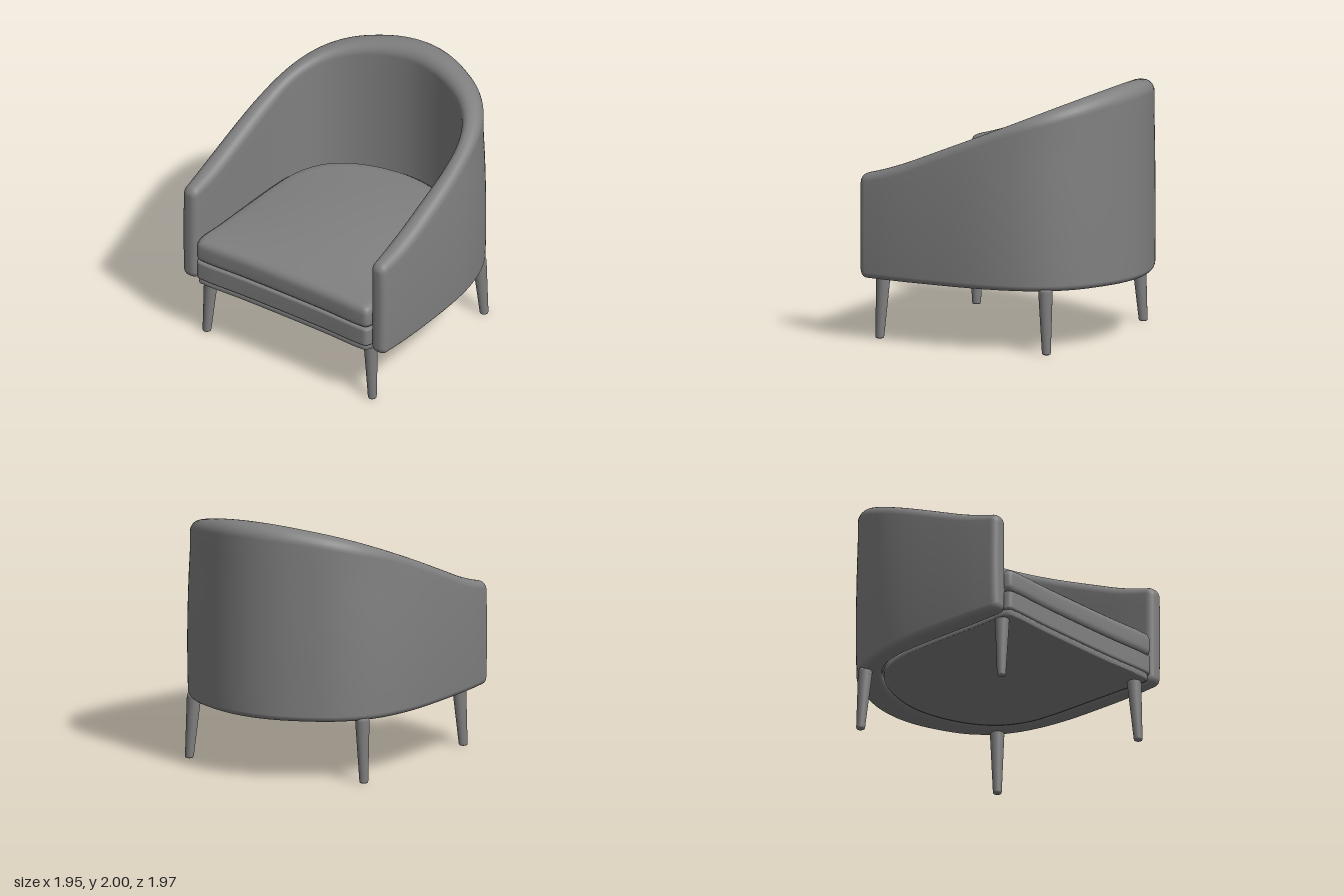
import * as THREE from 'three';

const material = new THREE.MeshStandardMaterial({ color: 0x808080 });

// Half plan outlines [x, z] of the wrap-around shell, arm tip to middle of the back
const OUTER = [[-0.9, 0.965], [-0.7, 0.98], [-0.4, 0.985], [0, 0.972], [0.25, 0.935], [0.45, 0.873],
  [0.62, 0.775], [0.77, 0.62], [0.885, 0.4], [0.95, 0.2], [0.972, 0]];
const INNER = [[-0.9, 0.825], [-0.7, 0.815], [-0.4, 0.81], [0, 0.8], [0.2, 0.78], [0.36, 0.725],
  [0.48, 0.645], [0.59, 0.515], [0.68, 0.33], [0.725, 0.165], [0.742, 0]];
const SEAT_FRONT = [[-0.963, 0], [-0.966, 0.4], [-0.977, 0.73], [-0.967, 0.8]];

const vec = ([x, z]) => new THREE.Vector3(x, 0, z);
const flip = ([x, z]) => [x, -z];

function addMesh(parent, geometry, name) {
  const mesh = new THREE.Mesh(geometry, material);
  mesh.name = name;
  parent.add(mesh);
}

// Smooth skin over a list of closed rings, capped at both ends
function loft(rings) {
  const n = rings[0].length, last = rings.length - 1;
  const points = rings.flat(), index = [];
  for (let i = 0; i < last; i++) {
    for (let j = 0; j < n; j++) {
      const a = i * n + j, b = i * n + (j + 1) % n;
      index.push(a, a + n, b, b, a + n, b + n);
    }
  }
  for (const i of [0, last]) {
    const center = new THREE.Vector3();
    rings[i].forEach((p) => center.addScaledVector(p, 1 / n));
    const m = points.push(center) - 1;
    for (let j = 0; j < n; j++) {
      const a = i * n + j, b = i * n + (j + 1) % n;
      if (i === 0) index.push(m, a, b);
      else index.push(m, b, a);
    }
  }
  const geometry = new THREE.BufferGeometry().setFromPoints(points);
  geometry.setIndex(index);
  geometry.computeVertexNormals();
  return geometry;
}

// Upright rounded section: [across, height] points, counter-clockwise
function section(width, bottom, top, inset) {
  const x0 = inset, x1 = width - inset, y0 = bottom + inset, y1 = top - inset;
  const rt = 0.43 * (x1 - x0), rb = Math.min(0.045, 0.4 * (x1 - x0));
  const corners = [[x1 - rb, y0 + rb, rb], [x1 - rt, y1 - rt, rt], [x0 + rt, y1 - rt, rt], [x0 + rb, y0 + rb, rb]];
  const onArc = ([cx, cy, r], a) => new THREE.Vector2(cx + r * Math.cos(a), cy + r * Math.sin(a));
  const loop = [];
  corners.forEach((corner, c) => {
    const start = (c - 1) * Math.PI / 2, end = c * Math.PI / 2;
    for (let i = 0; i <= 6; i++) loop.push(onArc(corner, start + i * Math.PI / 12));
    // Extra points along the edges, so the tall sides can bulge
    const from = onArc(corner, end), to = onArc(corners[(c + 1) % 4], end);
    const steps = c % 2 === 0 ? 8 : 2;
    for (let i = 1; i < steps; i++) loop.push(from.clone().lerp(to, i / steps));
  });
  return loop;
}

// Shell: arms and back in one sweep, rising towards the back, with rounded arm tips
function shellGeometry() {
  const [outer, inner] = [OUTER, INNER].map((half) =>
    new THREE.CatmullRomCurve3([...half, ...half.slice(0, -1).reverse().map(flip)].map(vec)));
  const tip = 0.055, stations = [];
  for (let i = 0; i <= 6; i++) {
    const a = (i / 6) * Math.PI / 2;
    stations.push({ t: 0, shift: -tip * Math.cos(a), inset: tip * (1 - Math.sin(a)) });
  }
  const tips = stations.map((s) => ({ ...s, t: 1 })).reverse();
  for (let i = 1; i < 100; i++) stations.push({ t: i / 100, shift: 0, inset: 0 });
  stations.push(...tips);

  return loft(stations.map(({ t, shift, inset }) => {
    const o = outer.getPoint(t), q = inner.getPoint(t);
    const width = o.distanceTo(q), midX = (o.x + q.x) / 2 + shift;
    const top = 1.645 + 0.415 * midX + 0.2 * Math.max(0, -0.5 - midX) ** 2;
    return section(width, 0.488, top, inset).map(({ x: u, y }) => {
      const f = u / width;
      const p = q.clone().lerp(o, f);
      const taper = Math.min(0.03, 0.027 * ((y - 0.9) / 0.7) ** 2);
      return new THREE.Vector3(p.x + shift, y, p.z * (1 - f * taper));
    });
  }));
}

// Slab filling the inside of the shell; profile rows are [plan scale, height, crown]
function slabGeometry(profile) {
  const half = [...SEAT_FRONT, ...INNER];
  const loop = [...half.map(flip), ...half.slice(1, -1).reverse()];
  const outline = new THREE.CatmullRomCurve3(loop.map(vec), true).getPoints(160).slice(0, -1);
  return loft(profile.map(([s, y, crown = 0]) => outline.map((p) => {
    const x = (p.x + 0.12) * s, z = p.z * s;
    const dome = Math.max(0, 1 - (x / 0.86) ** 2) * Math.max(0, 1 - (z / 0.82) ** 2);
    return new THREE.Vector3(x - 0.12, y + crown * dome, z);
  })));
}

// Tapered round leg, leaning outwards
function legGeometry(topX, topZ, footX, footZ) {
  const profile = [[0, 0], [0.024, 0], [0.031, 0.004], [0.034, 0.014], [0.055, 0.48], [0.05, 0.505], [0, 0.51]];
  const geometry = new THREE.LatheGeometry(profile.map(([r, y]) => new THREE.Vector2(r, y)), 24);
  const position = geometry.attributes.position;
  for (let i = 0; i < position.count; i++) {
    const k = position.getY(i) / 0.5;
    position.setX(i, position.getX(i) + footX + (topX - footX) * k);
    position.setZ(i, position.getZ(i) + footZ + (topZ - footZ) * k);
  }
  return geometry;
}

export function createModel() {
  const chair = new THREE.Group();
  chair.name = 'tubArmchair';

  addMesh(chair, shellGeometry(), 'shell');
  addMesh(chair, slabGeometry([[0.5, 0.487], [0.97, 0.487], [0.985, 0.489], [0.985, 0.54], [0.5, 0.54]]), 'underside');
  addMesh(chair, slabGeometry([[0.5, 0.53], [0.98, 0.53], [0.99, 0.532], [0.998, 0.538], [1, 0.55],
    [1, 0.665], [0.998, 0.677], [0.99, 0.683], [0.98, 0.685], [0.5, 0.685]]), 'seatBase');

  // Cushion: rounded edge, then a domed top
  const cushion = [[0.5, 0.69], [0.96, 0.69], [0.98, 0.695], [0.994, 0.71], [1, 0.735],
    [1, 0.81], [0.996, 0.835], [0.985, 0.857], [0.965, 0.87]];
  for (let i = 0; i <= 14; i++) cushion.push([0.94 - i * 0.066, 0.877, 0.068]);
  addMesh(chair, slabGeometry(cushion), 'seatCushion');

  for (const side of [1, -1]) {
    const label = side > 0 ? 'Left' : 'Right';
    addMesh(chair, legGeometry(-0.845, side * 0.755, -0.863, side * 0.784), 'armLeg' + label);
    addMesh(chair, legGeometry(0.558, side * 0.755, 0.582, side * 0.784), 'backLeg' + label);
  }
  return chair;
}
